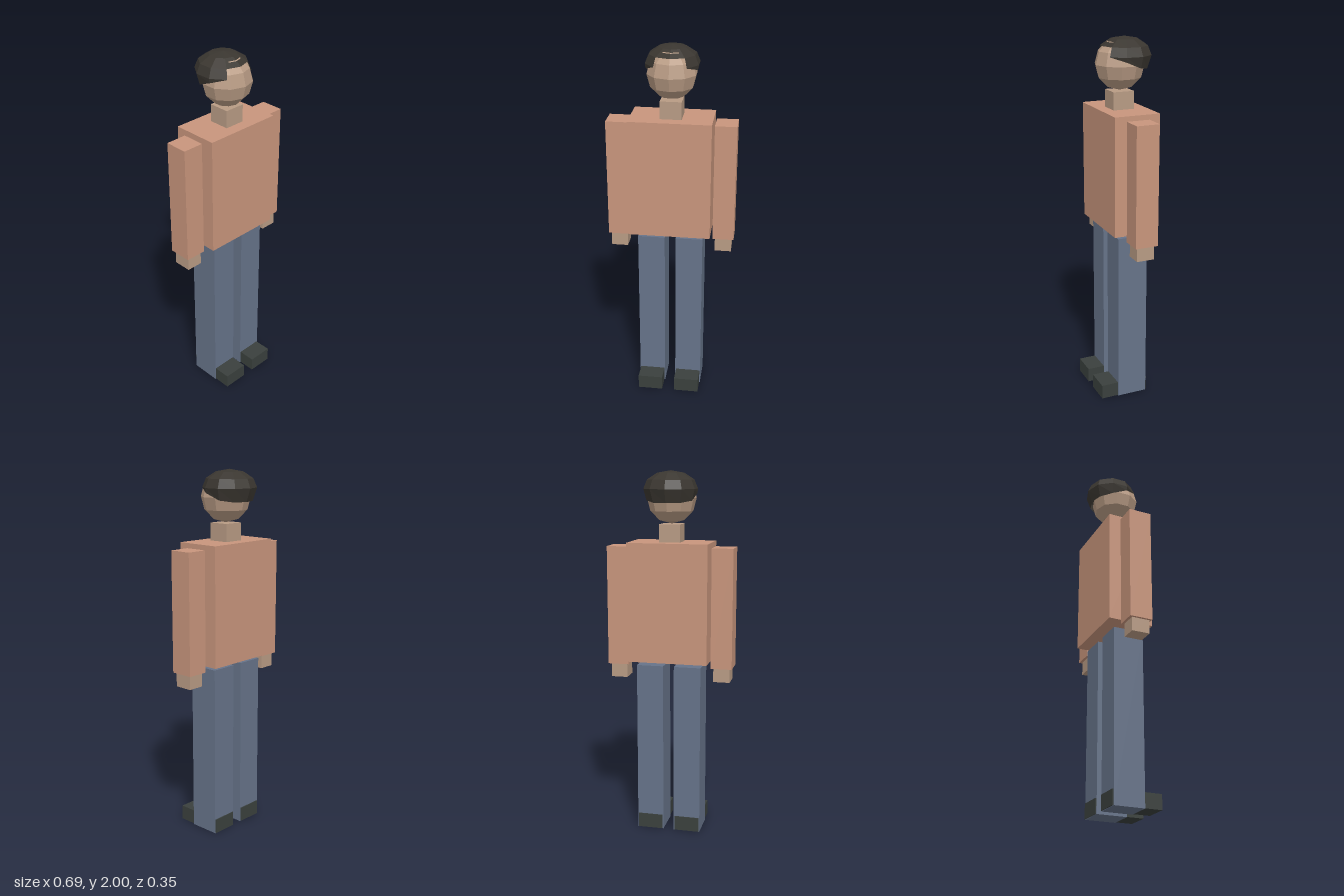
import * as THREE from 'three';

const mat = (color, side = THREE.FrontSide) =>
  new THREE.MeshStandardMaterial({ color, flatShading: true, side });

const shirt = mat(0xc8957c);
const skin = mat(0xb89b84);
const denim = mat(0x667389);
const leather = mat(0x3a403d);
const hairMat = mat(0x3a3630, THREE.DoubleSide);

// Box given by its limits on each axis
function block(name, material, [x0, x1], [y0, y1], [z0, z1]) {
  const mesh = new THREE.Mesh(new THREE.BoxGeometry(x1 - x0, y1 - y0, z1 - z0), material);
  mesh.position.set((x0 + x1) / 2, (y0 + y1) / 2, (z0 + z1) / 2);
  mesh.name = name;
  return mesh;
}

// Ten-sided cap, open over the forehead, with a skirt that drops towards the nape
function hairGeometry() {
  const sides = 10, radius = 0.145, height = 0.095, baseY = 1.905, centreZ = -0.032;
  const skirtY = [1.905, 1.905, 1.88, 1.845, 1.835, 1.835];
  const skirtR = [0.145, 0.145, 0.141, 0.129, 0.122, 0.12];

  const point = (ring, k) => {
    const angle = (k / sides) * Math.PI * 2;
    const fromFront = Math.min(k % sides, sides - (k % sides));
    const polar = (ring * Math.PI) / 6;
    const r = ring < 4 ? radius * Math.sin(polar) : skirtR[fromFront];
    const y = ring < 4 ? baseY + height * Math.cos(polar) : skirtY[fromFront];
    return [r * Math.sin(angle), y, centreZ + r * Math.cos(angle)];
  };

  const positions = [];
  for (let ring = 0; ring < 4; ring++) {
    for (let k = 0; k < sides; k++) {
      const overForehead = k === 0 || k === sides - 1;
      if (ring >= 2 && overForehead) continue;
      const a = point(ring, k), b = point(ring + 1, k);
      const c = point(ring + 1, k + 1), d = point(ring, k + 1);
      // Leave out triangles that collapse at the crown or at the skirt's ends
      if (!(ring === 3 && k === 1)) positions.push(...a, ...b, ...c);
      else positions.push(...a, ...c, ...d);
      if (ring > 0 && !(ring === 3 && (k === 1 || k === sides - 2))) positions.push(...a, ...c, ...d);
    }
  }
  const geometry = new THREE.BufferGeometry();
  geometry.setAttribute('position', new THREE.Float32BufferAttribute(positions, 3));
  geometry.computeVertexNormals();
  return geometry;
}

export function createModel() {
  const model = new THREE.Group();
  model.name = 'standingFigure';

  model.add(
    block('torso', shirt, [-0.22, 0.22], [0.98, 1.625], [-0.136, 0.117]),
    block('neck', skin, [-0.057, 0.057], [1.625, 1.72], [-0.063, 0.053])
  );

  // Limbs, mirrored left and right
  for (const [side, s] of [['left', 1], ['right', -1]]) {
    const span = (a, b) => (s > 0 ? [a, b] : [-b, -a]);
    model.add(
      block(side + 'Sleeve', shirt, span(0.23, 0.346), [0.95, 1.6], [-0.073, 0.054]),
      block(side + 'Hand', skin, span(0.243, 0.333), [0.873, 0.95], [-0.058, 0.042]),
      block(side + 'Leg', denim, span(0.03, 0.178), [0, 0.953], [-0.09, 0.08]),
      block(side + 'Shoe', leather, span(0.035, 0.174), [0.002, 0.083], [-0.095, 0.177])
    );
  }

  // Head: ten-sided sphere with one corner facing forward
  const head = new THREE.Mesh(new THREE.SphereGeometry(0.133, 10, 6), skin);
  head.rotation.y = Math.PI / 2;
  head.scale.y = 1.02;
  head.position.set(0, 1.857, -0.005);
  head.name = 'head';

  const hair = new THREE.Mesh(hairGeometry(), hairMat);
  hair.name = 'hair';
  model.add(head, hair);

  return model;
}
